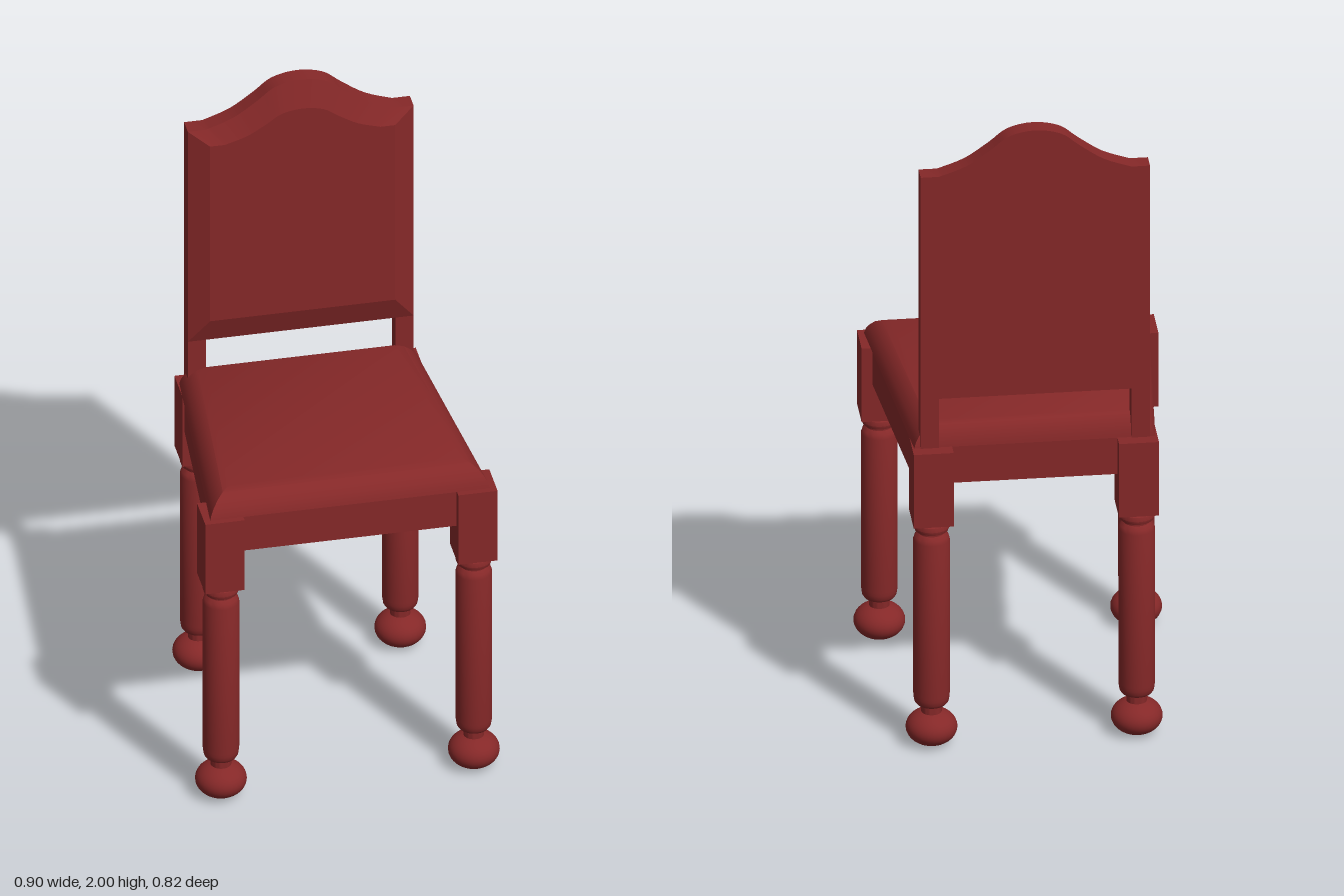
import * as THREE from 'three';
import { toCreasedNormals } from 'three/addons/utils/BufferGeometryUtils.js';

const wood = new THREE.MeshStandardMaterial({ color: 0x852828, side: THREE.DoubleSide });

function part(name, geometry, parent) {
  const mesh = new THREE.Mesh(geometry, wood);
  mesh.name = name;
  parent.add(mesh);
  return mesh;
}

// Four-cornered seat outline, wider at the front
function seatRing(inset, y) {
  const f = 0.413 - inset, b = 0.35 - inset;
  const zf = 0.375 - inset, zb = -0.352 + inset * 0.6;
  return [[-f, y, zf], [f, y, zf], [b, y, zb], [-b, y, zb]];
}

// Closed solid through a stack of four-cornered rings
function loft(rings) {
  const pos = [];
  const quad = (a, b, c, d) => pos.push(...a, ...b, ...c, ...a, ...c, ...d);
  for (let r = 0; r < rings.length - 1; r++) {
    for (let i = 0; i < 4; i++) {
      const j = (i + 1) % 4;
      quad(rings[r][i], rings[r][j], rings[r + 1][j], rings[r + 1][i]);
    }
  }
  const [a, b, c, d] = rings[0];
  quad(d, c, b, a);
  quad(...rings[rings.length - 1]);
  const g = new THREE.BufferGeometry();
  g.setAttribute('position', new THREE.Float32BufferAttribute(pos, 3));
  return toCreasedNormals(g, 0.6);
}

// Crest line of the backrest: flat shoulders sweeping up to a rounded crown
const HALF = 0.333, SHOULDER = 1.865;
const crest = new THREE.SplineCurve([
  [-0.28, SHOULDER], [-0.2, 1.895], [-0.13, 1.943], [-0.075, 1.985], [0, 2],
  [0.075, 1.985], [0.13, 1.943], [0.2, 1.895], [0.28, SHOULDER],
].map(([x, y]) => new THREE.Vector2(x, y))).getPoints(32);
const crestLine = [new THREE.Vector2(-HALF, SHOULDER), ...crest, new THREE.Vector2(HALF, SHOULDER)];

function createLeg(name, x, z) {
  const leg = new THREE.Group();
  leg.name = name;
  leg.position.set(x, 0, z);

  part('legBlock', new THREE.BoxGeometry(0.116, 0.24, 0.116), leg).position.y = 0.855;

  // Turned post with a bead at the top
  const post = [
    [0.03, 0.09], [0.03, 0.13], [0.044, 0.136], [0.05, 0.145], [0.052, 0.158],
    [0.053, 0.17], [0.053, 0.67], [0.049, 0.683], [0.039, 0.693], [0.039, 0.698],
    [0.049, 0.703], [0.053, 0.714], [0.049, 0.726], [0.039, 0.732], [0.039, 0.74],
  ].map(([r, y]) => new THREE.Vector2(r, y));
  part('turnedPost', toCreasedNormals(new THREE.LatheGeometry(post, 28), 0.7), leg);

  // Flattened ball foot
  const foot = part('ballFoot', new THREE.SphereGeometry(0.075, 28, 18), leg);
  foot.scale.y = 0.72;
  foot.position.y = 0.058;
  return leg;
}

function createBackrest() {
  const back = new THREE.Group();
  back.name = 'backrest';
  const zBack = -0.365, zFace = -0.313, zRaised = -0.286;

  // Slab with two short posts reaching down to the seat
  const post = 0.28, foot = 0.98, low = 1.14;
  const shape = new THREE.Shape([
    ...crestLine,
    ...[[HALF, foot], [post, foot], [post, low], [-post, low], [-post, foot], [-HALF, foot]]
      .map(([x, y]) => new THREE.Vector2(x, y)),
  ]);
  const slab = new THREE.ExtrudeGeometry(shape, { depth: zFace - zBack, bevelEnabled: false });
  slab.translate(0, 0, zBack);
  part('backSlab', toCreasedNormals(slab, 0.5), back);

  // Raised front panel: a grid whose rim lies on the slab and whose middle stands proud
  const cols = crestLine.length + 1;
  const panel = new THREE.PlaneGeometry(1, 1, cols, 3);
  const pos = panel.attributes.position;
  for (let c = 0; c <= cols; c++) {
    const edge = c === 0 || c === cols;
    const p = crestLine[Math.min(Math.max(c - 1, 0), crestLine.length - 1)];
    const innerTop = p.y - 0.042 - 0.3 * (p.y - SHOULDER);
    const ys = [p.y, innerTop, 1.22, low];
    for (let r = 0; r < 4; r++) {
      const inner = !edge && (r === 1 || r === 2);
      const x = inner ? p.x * 0.82 : p.x;
      pos.setXYZ(r * (cols + 1) + c, x, ys[r], inner ? zRaised : zFace);
    }
  }
  part('raisedPanel', toCreasedNormals(panel, 0.3), back);
  return back;
}

export function createModel() {
  const chair = new THREE.Group();
  chair.name = 'chair';

  // Apron under the seat
  part('apron', loft([seatRing(0.006, 0.855), seatRing(0.006, 0.976)]), chair);

  // Cushioned seat with rounded edges and mitred corners
  const edge = [[0, 0.975], [0.005, 0.992], [0.014, 1.008], [0.028, 1.025], [0.047, 1.038], [0.07, 1.045]];
  part('seat', loft(edge.map(([inset, y]) => seatRing(inset, y))), chair);

  // Legs
  for (const [side, s] of [['Left', 1], ['Right', -1]]) {
    chair.add(createLeg('front' + side + 'Leg', s * 0.373, 0.335));
    chair.add(createLeg('back' + side + 'Leg', s * 0.298, -0.334));
  }

  chair.add(createBackrest());
  return chair;
}
